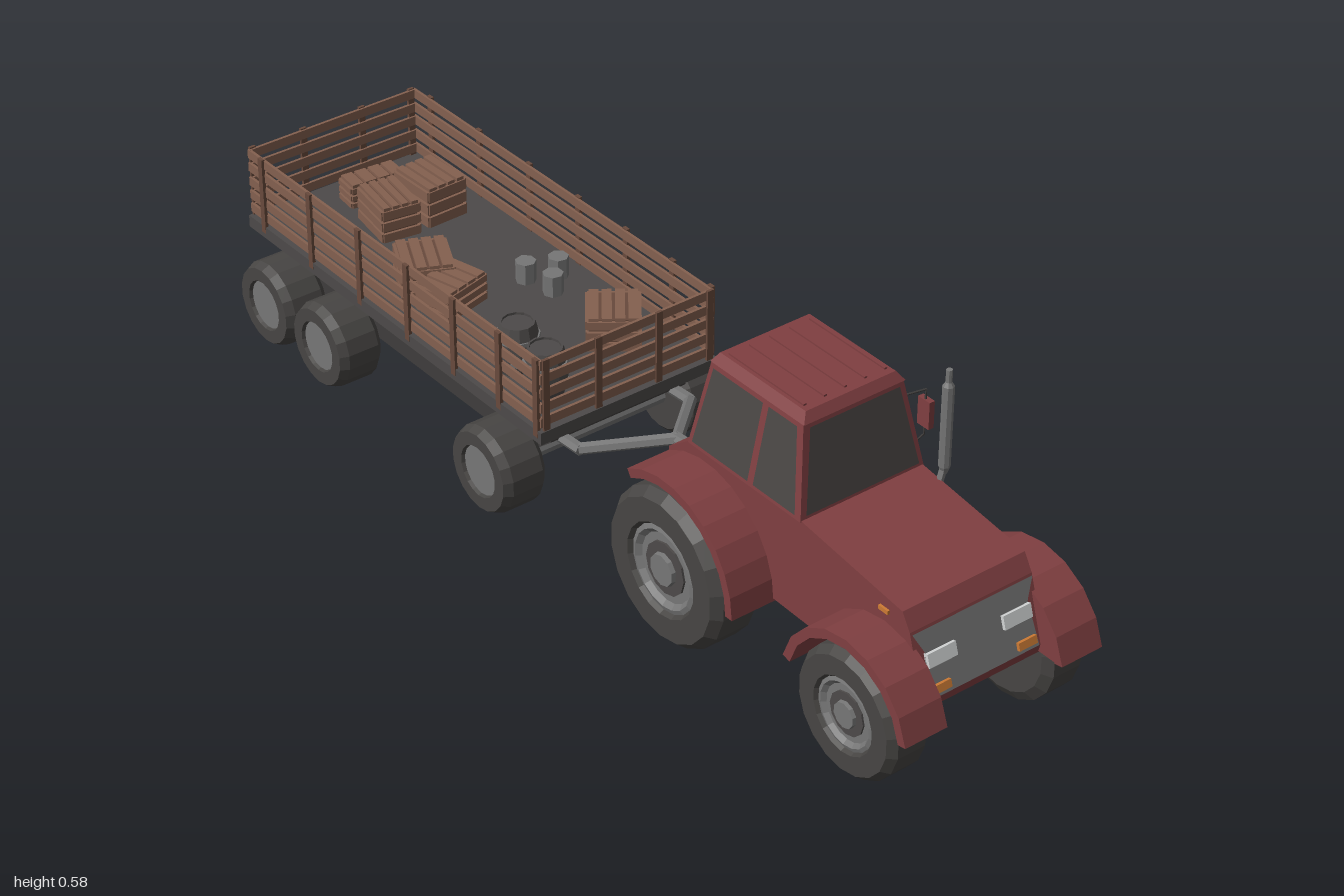
import * as THREE from 'three';

const mat = (name, color) => {
  const m = new THREE.MeshStandardMaterial({ color, flatShading: true, side: THREE.DoubleSide });
  m.name = name;
  return m;
};

export function createModel() {
  const red = mat('red paint', 0x803f41), rubber = mat('rubber', 0x474543), steel = mat('steel', 0x767676);
  const glass = mat('dark glass', 0x4b4745), wood = mat('wood', 0x84604f), darkWood = mat('dark wood', 0x684a3c);
  const lamp = mat('headlight white', 0xd2d4d4), orange = mat('indicator orange', 0xcc7a34);
  const iron = mat('dark iron', 0x3f3d3c), bedGrey = mat('bed grey', 0x4d4a49);
  const root = new THREE.Group(), tractor = new THREE.Group(), trailer = new THREE.Group();
  tractor.name = 'tractor';
  trailer.name = 'trailer';
  root.add(tractor, trailer);

  const add = (parent, name, geo, m, x = 0, y = 0, z = 0) => {
    const mesh = new THREE.Mesh(geo, m);
    mesh.name = name;
    mesh.position.set(x, y, z);
    parent.add(mesh);
    return mesh;
  };
  const box = (p, name, m, x, y, z, w, h, d) => add(p, name, new THREE.BoxGeometry(w, h, d), m, x, y, z);
  // side profile in x,y extruded from z0 to z1
  const slab = (p, name, m, pts, z0, z1) => add(p, name, new THREE.ExtrudeGeometry(
    new THREE.Shape(pts.map(q => new THREE.Vector2(...q))), { depth: z1 - z0, bevelEnabled: false }), m, 0, 0, z0);
  // round bar between two points
  const bar = (p, name, m, a, b, r, r2 = r, sides = 6) => {
    const A = new THREE.Vector3(...a), B = new THREE.Vector3(...b), d = B.clone().sub(A);
    const mesh = add(p, name, new THREE.CylinderGeometry(r2, r, d.length(), sides), m);
    mesh.position.copy(A).add(B).multiplyScalar(0.5);
    mesh.quaternion.setFromUnitVectors(new THREE.Vector3(0, 1, 0), d.normalize());
    return mesh;
  };
  // box with separate bottom and top rectangles [x0, x1, halfZ]
  const taper = (p, name, m, bot, top, y0, y1) => {
    const g = new THREE.BoxGeometry(1, 1, 1), v = g.attributes.position;
    for (let i = 0; i < v.count; i++) {
      const up = v.getY(i) > 0, [x0, x1, hz] = up ? top : bot;
      v.setXYZ(i, v.getX(i) > 0 ? x1 : x0, up ? y1 : y0, Math.sign(v.getZ(i)) * hz);
    }
    g.computeVertexNormals();
    return add(p, name, g, m);
  };
  // flat panel from corners in order
  const panel = (p, name, m, pts) => {
    const g = new THREE.BufferGeometry(), idx = [];
    g.setAttribute('position', new THREE.Float32BufferAttribute(pts.flat(), 3));
    for (let i = 1; i < pts.length - 1; i++) idx.push(0, i, i + 1);
    g.setIndex(idx);
    g.computeVertexNormals();
    return add(p, name, g, m);
  };
  const lathe = (pts, n) => new THREE.LatheGeometry(pts.map(q => new THREE.Vector2(...q)), n);

  // wheel whose inner face lies at |z| = zIn
  const wheel = (p, name, x, y, R, zIn, w, side, capped) => {
    const g = new THREE.Group();
    g.name = name;
    const tire = lathe([[0, 0], [0.84 * R, 0], [R, 0.14 * w], [R, 0.82 * w], [0.9 * R, w],
      [0.6 * R, w], [0.54 * R, 0.85 * w]], 18).rotateX(Math.PI / 2);
    const rim = lathe(capped
      ? [[0.56 * R, 0.92 * w], [0.5 * R, 0.95 * w], [0.44 * R, 0.86 * w], [0, 0.86 * w]]
      : [[0.57 * R, 0.93 * w], [0, 0.93 * w]], 18).rotateX(Math.PI / 2);
    add(g, 'tire', tire, rubber);
    add(g, 'rim', rim, steel);
    if (capped) {
      add(g, 'hubRing', new THREE.CylinderGeometry(0.34 * R, 0.34 * R, 0.1 * w, 12).rotateX(Math.PI / 2), bedGrey, 0, 0, 0.85 * w);
      add(g, 'hubCap', new THREE.CylinderGeometry(0.2 * R, 0.23 * R, 0.22 * w, 10).rotateX(Math.PI / 2), steel, 0, 0, 0.87 * w);
    }
    g.position.set(x, y, side * zIn);
    if (side < 0) g.rotation.y = Math.PI;
    p.add(g);
  };

  // ---- tractor body ----
  slab(tractor, 'body', red, [[0.29, 0.17], [0.94, 0.155], [0.945, 0.175], [0.905, 0.3], [0.885, 0.333],
    [0.62, 0.368], [0.32, 0.368], [0.262, 0.325], [0.262, 0.31], [0.29, 0.3]], -0.137, 0.137);
  const arc = (cx, cy, r, a0, a1, n) => Array.from({ length: n + 1 }, (_, i) => {
    const a = THREE.MathUtils.degToRad(a0 + (a1 - a0) * i / n);
    return [cx + r * Math.cos(a), cy + r * Math.sin(a)];
  });
  const RW = [0.366, 0.158], FW = [0.842, 0.128];
  for (const s of [1, -1]) {
    const span = (a, b) => s > 0 ? [a, b] : [-b, -a];
    slab(tractor, 'rearFender', red, [...arc(...RW, 0.19, 0, 123, 9), ...arc(...RW, 0.172, 123, 0, 9)], ...span(0.13, 0.23));
    slab(tractor, 'frontFender', red, [...arc(...FW, 0.161, 11, 168, 8), ...arc(...FW, 0.142, 168, 11, 8)], ...span(0.13, 0.223));
    slab(tractor, 'frontFenderWall', red, arc(...FW, 0.155, 11, 168, 8), ...span(0.13, 0.139));
    wheel(tractor, 'rearWheel', ...RW, 0.157, 0.132, 0.106, s, true);
    wheel(tractor, 'frontWheel', ...FW, 0.126, 0.134, 0.089, s, true);
    box(tractor, 'sideIndicator', orange, 0.842, 0.313, s * 0.138, 0.024, 0.008, 0.008);
  }
  bar(tractor, 'rearAxle', steel, [...RW, -0.15], [...RW, 0.15], 0.026, 0.026, 8);
  bar(tractor, 'frontAxle', steel, [...FW, -0.15], [...FW, 0.15], 0.024, 0.024, 8);
  box(tractor, 'sideStep', bedGrey, 0.62, 0.19, -0.163, 0.12, 0.045, 0.055);

  // grille and lamps on the sloping nose
  const noseX = y => 0.945 - 0.04 * (y - 0.175) / 0.125;
  const nose = (name, m, pts, off) => panel(tractor, name, m, pts.map(([z, y]) => [noseX(y) + off, y, z]));
  nose('grille', steel, [[0.125, 0.177], [-0.125, 0.177], [-0.116, 0.26], [-0.135, 0.297], [0.135, 0.297], [0.116, 0.26]].reverse(), 0.003);
  for (const s of [1, -1]) {
    box(tractor, 'headlight', lamp, noseX(0.245) + 0.003, 0.245, s * 0.085, 0.014, 0.026, 0.063).rotation.z = 0.3;
    box(tractor, 'indicator', orange, noseX(0.193) + 0.003, 0.193, s * 0.097, 0.014, 0.015, 0.041).rotation.z = 0.3;
  }

  // ---- cab ----
  taper(tractor, 'cab', red, [0.318, 0.624, 0.139], [0.347, 0.592, 0.111], 0.365, 0.54);
  taper(tractor, 'roof', red, [0.345, 0.596, 0.113], [0.356, 0.584, 0.1], 0.538, 0.556);
  for (let i = -2; i <= 2; i++) box(tractor, 'roofRib', red, 0.47, 0.557, i * 0.045, 0.2, 0.005, 0.006);
  const t = y => (y - 0.365) / 0.175;
  for (const s of [1, -1]) {
    const win = (name, pts) => {
      const p = pts.map(([x, y]) => [x, y, s * (0.142 - 0.028 * t(y))]);
      panel(tractor, name, glass, s > 0 ? p : p.reverse());
    };
    win('rearSideWindow', [[0.331, 0.374], [0.483, 0.374], [0.491, 0.53], [0.357, 0.53]]);
    win('doorWindow', [[0.498, 0.374], [0.61, 0.374], [0.581, 0.53], [0.506, 0.53]]);
  }
  const front = y => 0.627 - 0.032 * t(y), back = y => 0.315 + 0.029 * t(y);
  panel(tractor, 'windshield', glass, [[front(0.375), 0.375, 0.127], [front(0.375), 0.375, -0.127],
    [front(0.53), 0.53, -0.1], [front(0.53), 0.53, 0.1]]);
  panel(tractor, 'rearWindow', glass, [[back(0.44), 0.44, -0.114], [back(0.44), 0.44, 0.114],
    [back(0.53), 0.53, 0.1], [back(0.53), 0.53, -0.1]]);

  // exhaust stack
  bar(tractor, 'exhaustElbow', steel, [0.667, 0.33, -0.13], [0.667, 0.385, -0.147], 0.007);
  add(tractor, 'exhaustStack', lathe([[0, 0.37], [0.006, 0.37], [0.011, 0.385], [0.011, 0.55], [0.006, 0.558], [0.006, 0.583], [0, 0.583]], 8),
    steel, 0.667, 0, -0.147);

  // side mirror
  bar(tractor, 'mirrorArm', iron, [0.59, 0.503, -0.11], [0.6, 0.503, -0.158], 0.002);
  bar(tractor, 'mirrorArm', iron, [0.61, 0.41, -0.128], [0.6, 0.41, -0.158], 0.002);
  bar(tractor, 'mirrorRod', iron, [0.6, 0.41, -0.158], [0.6, 0.503, -0.158], 0.002);
  box(tractor, 'mirror', red, 0.6, 0.455, -0.16, 0.03, 0.056, 0.012);

  // ---- trailer chassis ----
  box(trailer, 'bed', bedGrey, -0.512, 0.211, 0, 0.974, 0.026, 0.412);
  slab(trailer, 'chassis', iron, [[-0.96, 0.2], [-0.96, 0.17], [-0.9, 0.108], [-0.13, 0.108], [-0.06, 0.165], [-0.06, 0.2]], -0.158, 0.158);
  for (const x of [-0.87, -0.682, -0.147]) {
    for (const s of [1, -1]) wheel(trailer, 'trailerWheel', x, 0.097, 0.089, 0.164, 0.099, s, false);
    bar(trailer, 'trailerAxle', steel, [x, 0.097, -0.18], [x, 0.097, 0.18], 0.02, 0.02, 8);
  }
  // drawbar
  for (const s of [1, -1]) {
    bar(trailer, 'drawbarStub', steel, [-0.07, 0.163, s * 0.13], [-0.005, 0.167, s * 0.13], 0.012);
    bar(trailer, 'drawbarArm', steel, [-0.01, 0.167, s * 0.13], [0.115, 0.203, 0], 0.012);
  }
  bar(trailer, 'drawbarTongue', steel, [0.105, 0.202, 0], [0.2, 0.21, 0], 0.012);
  box(trailer, 'hitch', steel, 0.19, 0.21, 0, 0.035, 0.028, 0.032);
  bar(tractor, 'towBar', steel, [0.19, 0.206, 0], [0.31, 0.2, 0], 0.01);

  // ---- slatted sides, each board slightly uneven ----
  for (let i = 0; i < 5; i++) {
    const y = 0.241 + i * 0.031, wob = ((i * 7) % 5 - 2) * 0.0012;
    for (const s of [1, -1]) {
      box(trailer, 'sideSlat', wood, -0.514, y, s * 0.198, 0.966, 0.019, 0.006).rotation.z = wob * s;
      box(trailer, 'endSlat', wood, s > 0 ? -0.034 : -0.993, y, 0, 0.006, 0.019, 0.4).rotation.x = wob * 2;
    }
  }
  for (const s of [1, -1]) {
    for (const x of [-0.945, -0.777, -0.61, -0.45, -0.3, -0.157, -0.042])
      box(trailer, 'sidePost', darkWood, x, 0.293, s * 0.203, 0.014, 0.168, 0.007);
    for (const x of [-0.997, -0.03]) for (const z of [0.07, 0.19])
      box(trailer, 'endPost', darkWood, x, 0.293, s * z, 0.006, 0.168, 0.014);
  }

  // ---- cargo ----
  const crate = (x, y, z, w, h, d, ry, rx = 0) => {
    const g = new THREE.Group();
    g.name = 'crate';
    box(g, 'crateCore', darkWood, 0, h / 2, 0, w * 0.92, h * 0.94, d * 0.92);
    for (let i = 0; i < 4; i++) {
      const z0 = (i - 1.5) * d / 4;
      box(g, 'topBoard', wood, 0, h, z0, w, 0.008, d / 4 - 0.006);
    }
    for (let i = 0; i < 3; i++) for (const s of [1, -1]) {
      const y0 = (i + 0.5) * h / 3;
      box(g, 'sideBoard', wood, 0, y0, s * d / 2, w, h / 3 - 0.006, 0.006);
      box(g, 'sideBoard', wood, s * w / 2, y0, 0, 0.006, h / 3 - 0.006, d);
    }
    g.position.set(x, y, z);
    g.rotation.set(rx, ry, 0);
    trailer.add(g);
  };
  crate(-0.2, 0.225, -0.095, 0.105, 0.07, 0.1, -0.65);
  crate(-0.79, 0.225, -0.09, 0.11, 0.085, 0.09, 0.03);
  crate(-0.79, 0.225, 0.01, 0.11, 0.075, 0.08, -0.15);
  crate(-0.907, 0.225, -0.03, 0.05, 0.05, 0.12, -0.1);
  crate(-0.57, 0.225, 0.08, 0.11, 0.07, 0.1, -0.45);
  crate(-0.48, 0.225, 0.08, 0.08, 0.06, 0.11, 0.25);

  for (const [x, z] of [[-0.225, 0.11], [-0.125, 0.12]]) {
    add(trailer, 'barrel', lathe([[0, 0], [0.034, 0], [0.042, 0.035], [0.042, 0.07], [0.034, 0.105], [0.03, 0.105], [0.03, 0.1], [0, 0.1]], 12),
      bedGrey, x, 0.224, z);
    for (const y of [0.03, 0.075])
      add(trailer, 'barrelHoop', new THREE.CylinderGeometry(0.043, 0.043, 0.008, 12), steel, x, 0.224 + y, z);
  }
  for (const [x, z] of [[-0.465, -0.085], [-0.44, -0.145], [-0.397, -0.1]])
    add(trailer, 'can', new THREE.CylinderGeometry(0.021, 0.021, 0.045, 7), steel, x, 0.246, z);

  return root;
}
